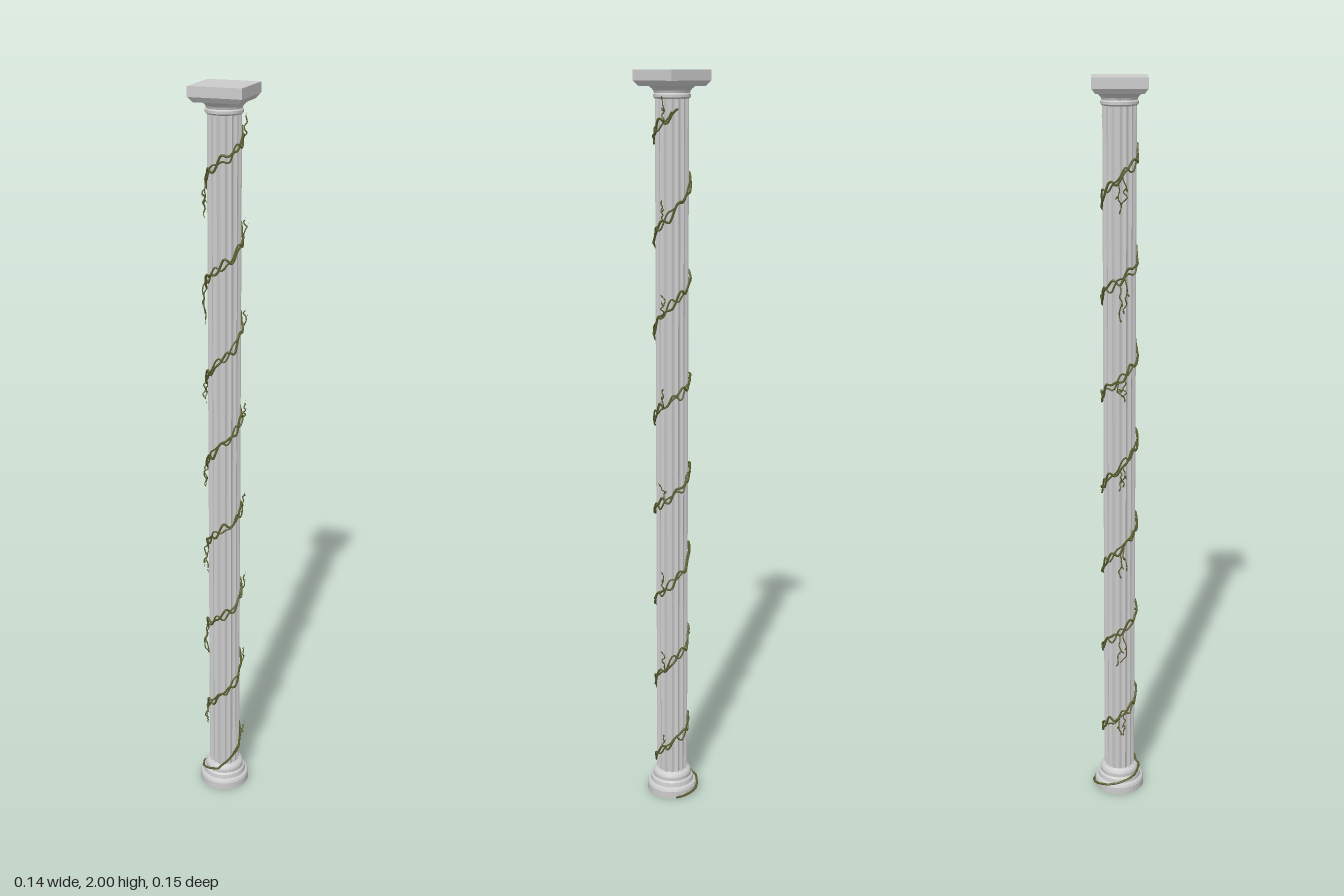
import * as THREE from 'three';

const stone = new THREE.MeshStandardMaterial({ color: 0xcccccc, flatShading: true });
const green = new THREE.MeshStandardMaterial({ color: 0x5c6130 });
const leafGreen = new THREE.MeshStandardMaterial({ color: 0x5c6130, side: THREE.DoubleSide });

const SHAFT_R = 0.043;
const BASE = [[0.07, 0], [0.07, 0.02], [0.067, 0.027], [0.061, 0.03], [0.059, 0.042],
  [0.054, 0.046], [0.054, 0.056], [0.051, 0.062], [0.042, 0.068]];

// Small seeded random source
let seed = 7;
const rand = () => (seed = (seed * 16807) % 2147483647) / 2147483647;

function add(parent, name, geometry, material) {
  const mesh = new THREE.Mesh(geometry, material);
  mesh.name = name;
  parent.add(mesh);
  return mesh;
}

const lathe = (pts) => new THREE.LatheGeometry(pts.map(p => new THREE.Vector2(...p)), 32);

// Fluted shaft: scalloped outline pulled upward
function shaftGeometry(y0, y1) {
  const flutes = 16, steps = 6, pts = [];
  for (let i = 0; i < flutes * steps; i++) {
    const a = (i / (flutes * steps)) * Math.PI * 2;
    const r = SHAFT_R - 0.0045 * Math.sin(((i % steps) / steps) * Math.PI);
    pts.push(new THREE.Vector2(Math.cos(a) * r, Math.sin(a) * r));
  }
  const g = new THREE.ExtrudeGeometry(new THREE.Shape(pts), { depth: y1 - y0, bevelEnabled: false });
  return g.rotateX(-Math.PI / 2).translate(0, y0, 0);
}

// Column surface radius at a height, so the vine hugs the base
function surfaceRadius(y) {
  for (let i = 1; i < BASE.length; i++) {
    const [r0, y0] = BASE[i - 1], [r1, y1] = BASE[i];
    if (y <= y1) return Math.max(SHAFT_R, r0 + (r1 - r0) * Math.max(0, (y - y0) / (y1 - y0)));
  }
  return SHAFT_R;
}

const polar = (a, y, r) => new THREE.Vector3(Math.sin(a) * r, y, Math.cos(a) * r);

// Point on a wandering helix; turn 0 is at the front of the base
function vinePoint(turn, phase) {
  const a = turn * Math.PI * 2;
  const grow = THREE.MathUtils.clamp(turn * 3, 0, 1);
  const wobble = 0.009 * Math.sin(a * 5 + phase) + 0.006 * Math.sin(a * 8.3 + phase * 2)
    + 0.012 * Math.sin(a * 0.77 + phase * 0.2);
  const y = Math.max(0.006, 0.06 + turn * (turn < 0 ? 0.1 : 0.25) + wobble * grow);
  const r = surfaceRadius(y) + 0.0035 + 0.002 * Math.sin(a * 6.1 + phase * 3);
  return polar(a, y, r);
}

function tube(points, radius, segments) {
  return new THREE.TubeGeometry(new THREE.CatmullRomCurve3(points), segments, radius, 5, false);
}

// Pointed leaf, slightly folded along its length
function leafGeometry() {
  const s = new THREE.Shape();
  s.moveTo(0, 0);
  s.quadraticCurveTo(0.005, 0.005, 0, 0.014);
  s.quadraticCurveTo(-0.005, 0.005, 0, 0);
  const g = new THREE.ShapeGeometry(s, 4), p = g.attributes.position;
  for (let i = 0; i < p.count; i++) p.setZ(i, Math.abs(p.getX(i)) * 0.5);
  g.computeVertexNormals();
  return g;
}

export function createModel() {
  seed = 7;
  const model = new THREE.Group();
  model.name = 'vineColumn';

  const column = new THREE.Group();
  column.name = 'column';
  model.add(column);
  add(column, 'base', lathe([[0, 0], ...BASE, [0, 0.068]]), stone);
  add(column, 'shaft', shaftGeometry(0.06, 1.94), stone);
  add(column, 'capitalMoulding', lathe([[0, 1.93], [0.043, 1.93], [0.048, 1.934], [0.048, 1.941],
    [0.045, 1.944], [0.047, 1.95], [0.054, 1.957], [0.06, 1.961], [0.06, 1.965], [0, 1.965]]), stone);
  // Square top slab: tapered lower moulding under a plain block
  const taper = new THREE.CylinderGeometry(0.07 * Math.SQRT2, 0.06 * Math.SQRT2, 0.014, 4);
  add(column, 'capitalTaper', taper.rotateY(Math.PI / 4).translate(0, 1.968, 0), stone);
  add(column, 'capitalSlab', new THREE.BoxGeometry(0.14, 0.026, 0.14).translate(0, 1.987, 0), stone);

  const vine = new THREE.Group();
  vine.name = 'vine';
  model.add(vine);

  // Two entwined stems
  [[0, 0.0032, 7.45], [2.4, 0.0024, 7.4]].forEach(([phase, radius, end]) => {
    const pts = [];
    for (let t = -0.6; t <= end; t += 0.025) pts.push(vinePoint(t, phase));
    add(vine, 'stem', tube(pts, radius, 750), green);
  });

  // Loose tendrils: hanging on the left side, climbing on the right side
  const leaf = leafGeometry();
  for (let k = 0; k < 8; k++) {
    for (const [turn, dir] of [[k + 0.3, 1], [k - 0.25, -1], [k - 0.21, -1]]) {
      if (turn < 0.2 || turn > 7.4) continue;
      const start = vinePoint(turn, 0), a0 = turn * Math.PI * 2;
      let len = dir > 0 ? 0.035 + rand() * 0.03 : 0.03 + rand() * 0.045;
      if (dir < 0 && k % 4 === 2) len = 0.085;
      len = Math.min(len, 1.925 - start.y);
      const pts = [start];
      for (let i = 1; i <= 6; i++) {
        pts.push(polar(a0 + (rand() - 0.5) * 0.22, start.y + dir * len * i / 6,
          SHAFT_R + 0.005 + rand() * 0.009));
      }
      add(vine, 'tendril', tube(pts, 0.0017, 24), green);
      for (const i of [3, 6]) {
        const l = add(vine, 'leaf', leaf, leafGreen);
        l.position.copy(pts[i]);
        l.rotation.set(0.2, a0, Math.PI * (dir < 0 ? 1 : 0) + (rand() - 0.5) * 1.6, 'YXZ');
      }
    }
  }

  // Shift so that column and vine together are centred
  model.position.set(0.002, 0, 0.003);
  return model;
}
